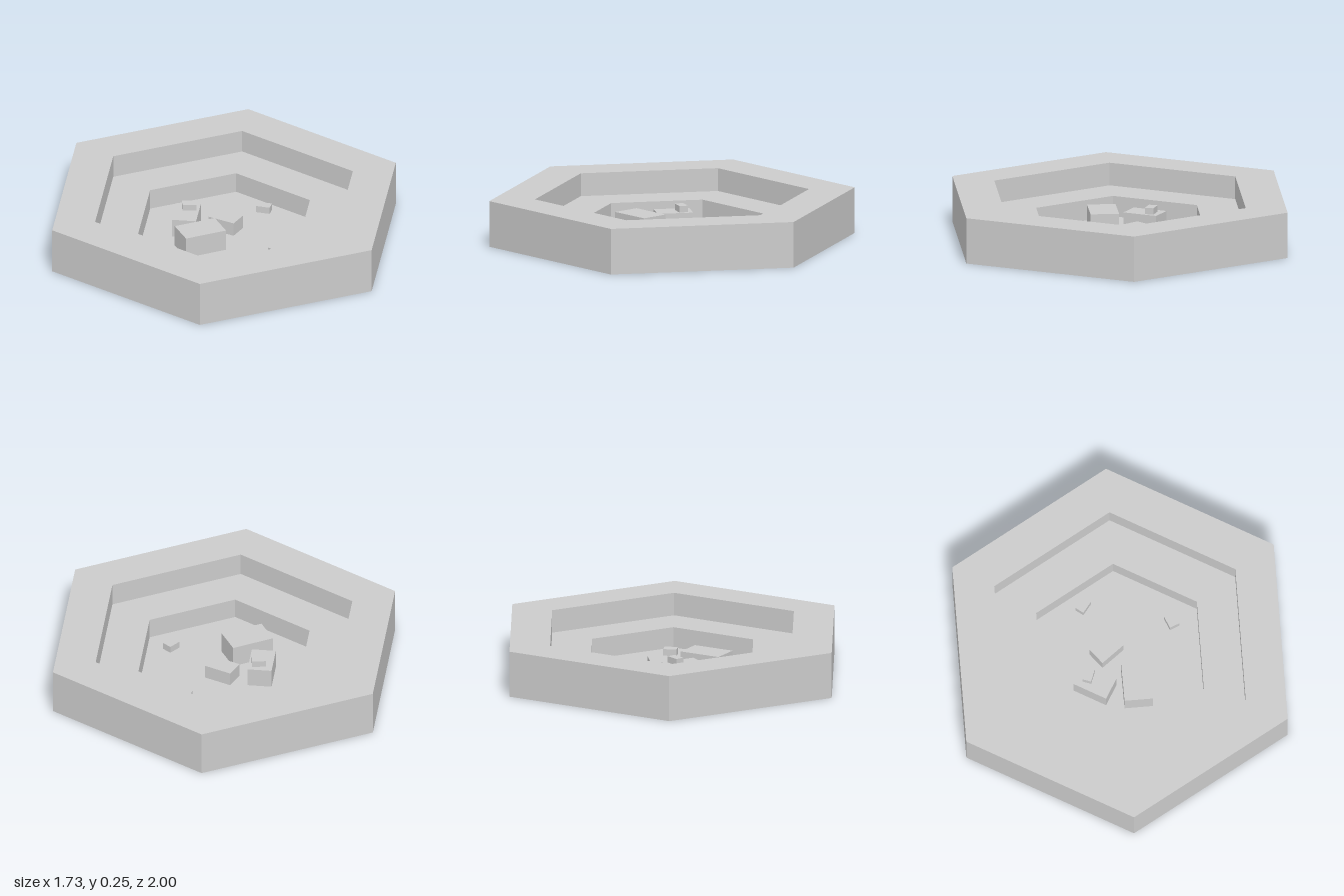
import * as THREE from 'three';

const FLOOR = 0.0125;
const STEP = 0.125;
const TOP = 0.25;

export function createModel() {
  const model = new THREE.Group();
  model.name = 'hexagonalPit';
  const shellMaterial = new THREE.MeshStandardMaterial({
    color: 0xcccccc, flatShading: true, side: THREE.DoubleSide,
  });
  const rockMaterial = new THREE.MeshStandardMaterial({ color: 0xcccccc, flatShading: true });

  // One six-sided band of the open shell, between two [radius, height] points
  function band(name, from, to) {
    const profile = [from, to].map(([r, y]) => new THREE.Vector2(r, y));
    const geometry = new THREE.LatheGeometry(profile, 6).toNonIndexed();
    geometry.computeVertexNormals();
    const mesh = new THREE.Mesh(geometry, shellMaterial);
    mesh.name = name;
    model.add(mesh);
  }

  // Thin stepped shell, open underneath
  band('outerWall', [1, 0], [1, TOP]);
  band('topRim', [1, TOP], [0.75, TOP]);
  band('upperWall', [0.75, TOP], [0.75, STEP]);
  band('stepLedge', [0.75, STEP], [0.5, STEP]);
  band('lowerWall', [0.5, STEP], [0.5, FLOOR]);

  // Pit floor
  const floorGeometry = new THREE.CircleGeometry(0.5, 6, Math.PI / 2);
  floorGeometry.rotateX(-Math.PI / 2);
  const floor = new THREE.Mesh(floorGeometry, shellMaterial);
  floor.name = 'pitFloor';
  floor.position.y = FLOOR;
  model.add(floor);

  // Loose blocks: name, x, z, width, depth, bottom, top, turn
  const blocks = [
    ['largeBlock', -0.108, 0.153, 0.234, 0.154, FLOOR, 0.13, 0.535],
    ['longBlock', -0.21, -0.048, 0.13, 0.195, FLOOR, 0.115, 0],
    ['middleBlock', 0, -0.08, 0.154, 0.104, FLOOR, 0.088, -0.387],
    ['stackedPebble', -0.2, -0.09, 0.076, 0.048, 0.115, 0.15, 0.16],
    ['backPebble', 0.177, -0.304, 0.076, 0.05, FLOOR, 0.05, -0.137],
    ['sidePebble', 0.305, 0.161, 0.072, 0.056, FLOOR, 0.05, 0.92],
  ];
  for (const [name, x, z, width, depth, bottom, top, turn] of blocks) {
    const block = new THREE.Mesh(new THREE.BoxGeometry(width, top - bottom, depth), rockMaterial);
    block.name = name;
    block.position.set(x, (bottom + top) / 2, z);
    block.rotation.y = turn;
    model.add(block);
  }
  return model;
}
